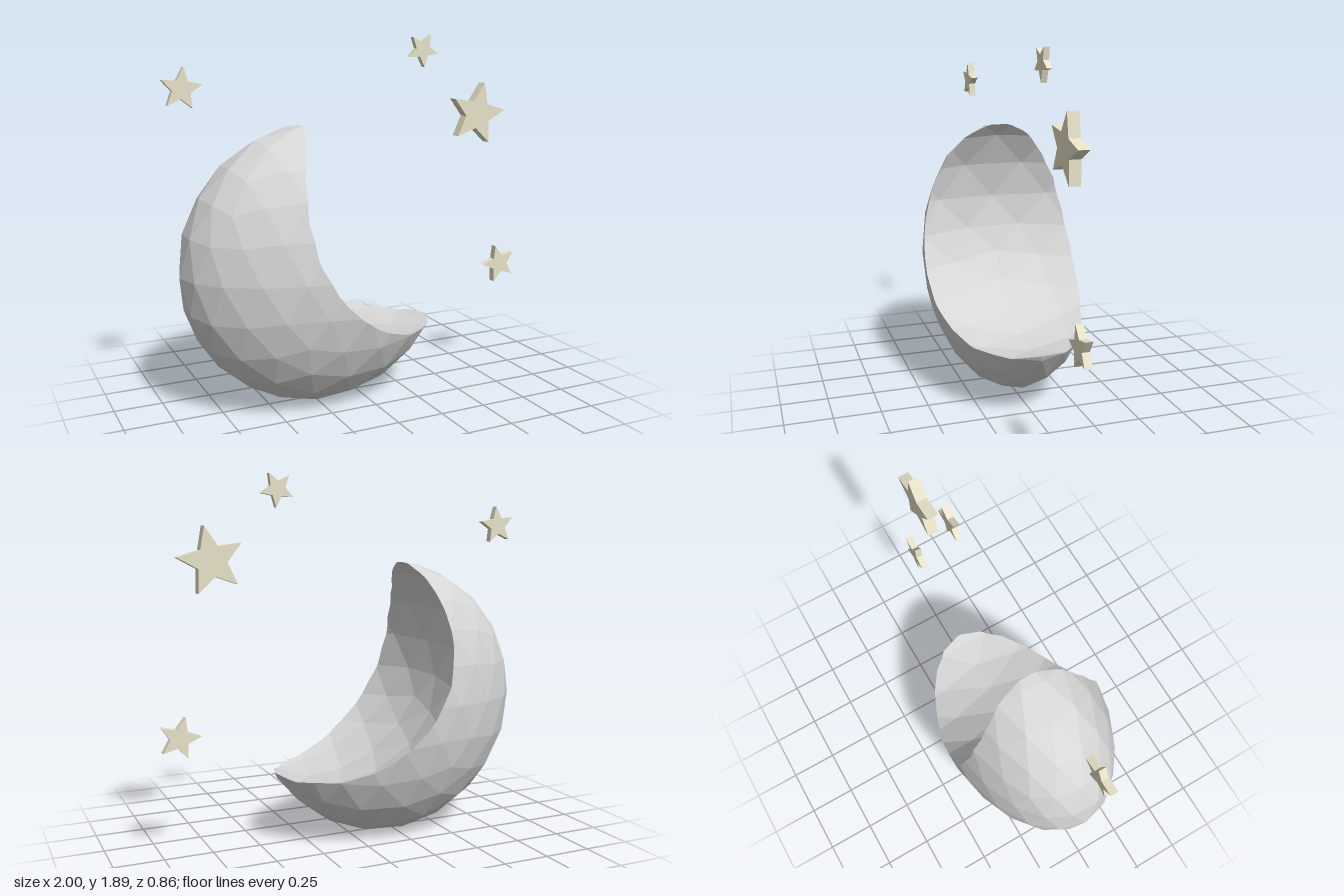
import * as THREE from 'three';

const moonGrey = new THREE.MeshStandardMaterial({ color: 0xd6d6d6 });
moonGrey.name = 'moon grey';
const starCream = new THREE.MeshStandardMaterial({ color: 0xe8e2c8 });
starCream.name = 'star cream';

// Faceted ellipsoid as a list of triangles, with one vertex at the bottom pole
function facetedBall(radius, depth, x, y) {
  const geo = new THREE.IcosahedronGeometry(radius, 3);
  geo.rotateZ(-Math.atan(2 / (1 + Math.sqrt(5))));
  geo.scale(1, 1, depth);
  geo.translate(x, y, 0);
  const pos = geo.attributes.position;
  const triangles = [];
  for (let i = 0; i < pos.count; i += 3) {
    triangles.push([0, 1, 2].map((k) => new THREE.Vector3().fromBufferAttribute(pos, i + k)));
  }
  return triangles;
}

const planesOf = (triangles) =>
  triangles.map((t) => new THREE.Plane().setFromCoplanarPoints(t[0], t[1], t[2]));

// Part of a convex polygon on one side of a plane (side 1 = outside, -1 = inside)
function clip(polygon, plane, side) {
  const result = [];
  polygon.forEach((a, i) => {
    const b = polygon[(i + 1) % polygon.length];
    const da = plane.distanceToPoint(a) * side;
    const db = plane.distanceToPoint(b) * side;
    if (da >= 0) result.push(a);
    if ((da > 0 && db < 0) || (da < 0 && db > 0)) result.push(a.clone().lerp(b, da / (da - db)));
  });
  return result.length > 2 ? result : [];
}

// Part of a polygon within a convex solid
function inside(polygon, planes) {
  let rest = polygon;
  for (const plane of planes) {
    rest = clip(rest, plane, -1);
    if (!rest.length) break;
  }
  return rest;
}

// Pieces of a polygon beyond a convex solid
function outside(polygon, planes) {
  if (!inside(polygon, planes).length) return [polygon];
  const pieces = [];
  let rest = polygon;
  for (const plane of planes) {
    const piece = clip(rest, plane, 1);
    if (piece.length) pieces.push(piece);
    rest = clip(rest, plane, -1);
    if (!rest.length) break;
  }
  return pieces;
}

// Flat-shaded surface from convex polygons
function surface(polygons) {
  const positions = [];
  const triangle = new THREE.Triangle();
  for (const p of polygons) {
    for (let i = 1; i < p.length - 1; i++) {
      triangle.set(p[0], p[i], p[i + 1]);
      if (triangle.getArea() < 1e-8) continue;
      for (const v of [p[0], p[i], p[i + 1]]) positions.push(v.x, v.y, v.z);
    }
  }
  const geo = new THREE.BufferGeometry();
  geo.setAttribute('position', new THREE.Float32BufferAttribute(positions, 3));
  geo.computeVertexNormals();
  return geo;
}

// Crescent: a flattened ball with a second, deeper ball carved out of it
function createMoon() {
  const ball = facetedBall(0.73, 0.6, -0.218, 0.73);
  const hollow = facetedBall(0.685, 1.5, 0.214, 1.02);
  const ballPlanes = planesOf(ball);
  const hollowPlanes = planesOf(hollow);
  const outer = ball.flatMap((t) => outside(t, hollowPlanes));
  const inner = hollow.map((t) => inside(t, ballPlanes).reverse());

  const moon = new THREE.Group();
  moon.name = 'crescentMoon';
  const outerMesh = new THREE.Mesh(surface(outer), moonGrey);
  outerMesh.name = 'moonOuterSurface';
  const innerMesh = new THREE.Mesh(surface(inner), moonGrey);
  innerMesh.name = 'moonInnerSurface';
  moon.add(outerMesh, innerMesh);
  return moon;
}

// Five-pointed star plate, turned clockwise by the given degrees
function createStar(name, x, y, radius, depth, turn) {
  const points = [];
  for (let i = 0; i < 10; i++) {
    const r = i % 2 ? radius * 0.45 : radius;
    const a = Math.PI / 2 + (i * Math.PI) / 5;
    points.push(new THREE.Vector2(r * Math.cos(a), r * Math.sin(a)));
  }
  const geo = new THREE.ExtrudeGeometry(new THREE.Shape(points), { depth, bevelEnabled: false });
  geo.translate(0, 0, -depth / 2);
  const star = new THREE.Mesh(geo, starCream);
  star.name = name;
  star.position.set(x, y, 0);
  star.rotation.z = -THREE.MathUtils.degToRad(turn);
  return star;
}

export function createModel() {
  const model = new THREE.Group();
  model.name = 'moonAndStars';
  model.add(
    createMoon(),
    createStar('largeStar', 0.733, 1.468, 0.172, 0.058, 12),
    createStar('topStar', 0.388, 1.814, 0.09, 0.03, 30),
    createStar('leftStar', -0.906, 1.64, 0.103, 0.036, 7),
    createStar('lowerStar', 0.909, 0.606, 0.108, 0.038, -16),
  );
  return model;
}
